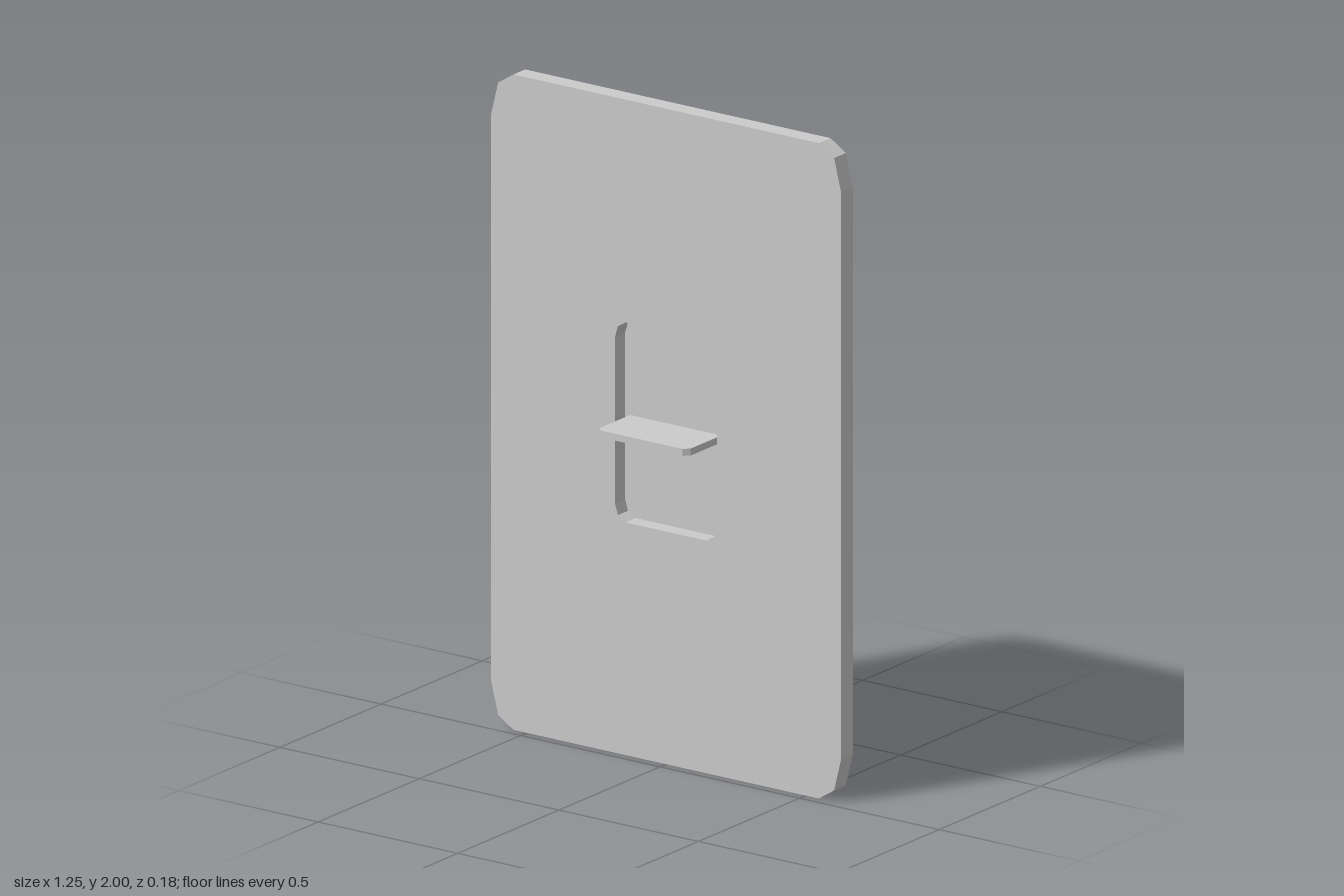
import * as THREE from 'three';

const BACK = -0.088, FRONT = -0.03, FLOOR = -0.08, TIP = 0.088;

// Rectangle with faceted corners; corner points are given for the upper +x quadrant
function facetedOutline(corner, cy) {
  const quads = [[1, 1], [-1, 1], [-1, -1], [1, -1]];
  const pts = quads.flatMap(([sx, sy]) => {
    const c = sx * sy > 0 ? corner : [...corner].reverse();
    return c.map(([x, y]) => new THREE.Vector2(sx * x, cy + sy * y));
  });
  return pts;
}

export function createModel() {
  const group = new THREE.Group();
  const material = new THREE.MeshStandardMaterial({ color: 0xcccccc, flatShading: true });
  const add = (name, geometry) => {
    const mesh = new THREE.Mesh(geometry, material);
    mesh.name = name;
    group.add(mesh);
    return mesh;
  };

  const outer = facetedOutline([[0.627, 0.865], [0.602, 0.965], [0.547, 1]], 1);
  const inner = facetedOutline([[0.183, 0.255], [0.173, 0.288], [0.145, 0.305]], 1.015);

  // Wall plate with the switch opening
  const plate = new THREE.Shape(outer);
  plate.holes.push(new THREE.Path(inner));
  add('wallPlate', new THREE.ExtrudeGeometry(plate, { depth: FRONT - BACK, bevelEnabled: false }))
    .position.z = BACK;

  // Recess floor, and the closed back behind it
  const opening = new THREE.Shape(inner);
  add('recessFloor', new THREE.ShapeGeometry(opening)).position.z = FLOOR;
  const back = add('backCover', new THREE.ShapeGeometry(opening));
  back.rotation.y = Math.PI;
  back.position.z = BACK;

  // Flat toggle lever with clipped front corners, drawn in x and -z then laid flat
  const lever = new THREE.Shape([
    [-0.165, -FLOOR], [-0.165, -0.072], [-0.148, -TIP],
    [0.145, -TIP], [0.162, -0.072], [0.162, -FLOOR],
  ].map(([x, y]) => new THREE.Vector2(x, y)));
  const leverGeo = new THREE.ExtrudeGeometry(lever, { depth: 0.021, bevelEnabled: false });
  leverGeo.rotateX(-Math.PI / 2);
  add('toggleLever', leverGeo).position.y = 1.0;

  return group;
}
